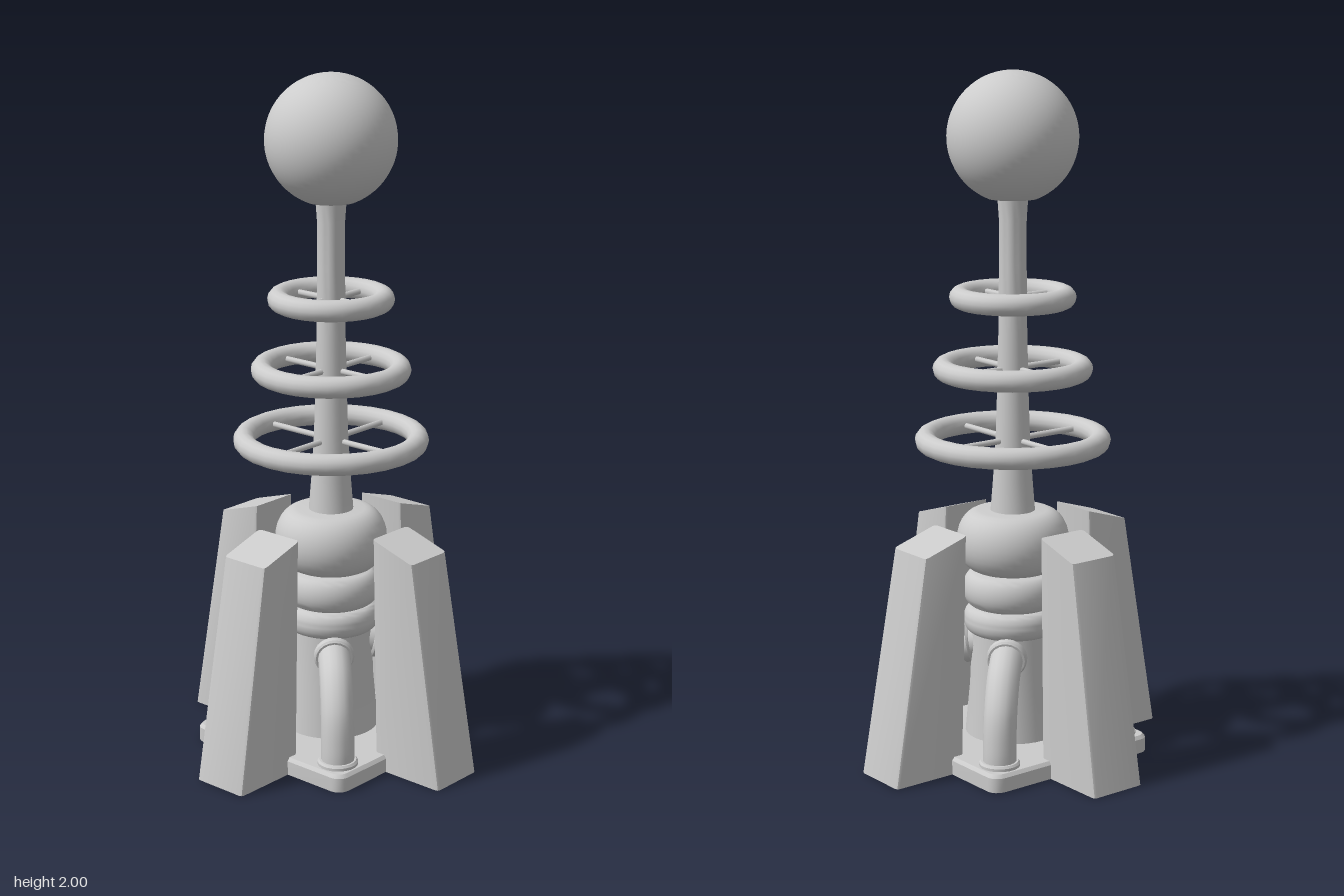
import * as THREE from 'three';
import { toCreasedNormals } from 'three/addons/utils/BufferGeometryUtils.js';

const material = new THREE.MeshStandardMaterial({ color: 0xcccccc, side: THREE.DoubleSide });

function add(parent, name, geometry) {
  const mesh = new THREE.Mesh(geometry, material);
  mesh.name = name;
  parent.add(mesh);
  return mesh;
}

function group(parent, name) {
  const g = new THREE.Group();
  g.name = name;
  parent.add(g);
  return g;
}

// Rounded rectangle loop between x0..x1 and -w..w, with height given by a function of x
function roundedLoop(x0, x1, w, r, heightAt, steps) {
  const centres = [[x1 - r, w - r], [x0 + r, w - r], [x0 + r, r - w], [x1 - r, r - w]];
  const loop = [];
  centres.forEach(([cx, cz], quarter) => {
    for (let i = 0; i <= steps; i++) {
      const a = (quarter + i / steps) * Math.PI / 2;
      const x = cx + r * Math.cos(a);
      loop.push([x, heightAt(x), cz + r * Math.sin(a)]);
    }
  });
  return loop;
}

// Skin through stacked loops, capped on top and open underneath
function loft(loops) {
  const n = loops[0].length;
  const positions = [];
  for (let k = 0; k < loops.length - 1; k++) {
    const lower = loops[k], upper = loops[k + 1];
    for (let i = 0; i < n; i++) {
      const j = (i + 1) % n;
      positions.push(...lower[i], ...upper[i], ...lower[j], ...lower[j], ...upper[i], ...upper[j]);
    }
  }
  const top = loops[loops.length - 1];
  for (let i = 1; i < n - 1; i++) positions.push(...top[0], ...top[i + 1], ...top[i]);
  const geometry = new THREE.BufferGeometry();
  geometry.setAttribute('position', new THREE.Float32BufferAttribute(positions, 3));
  return toCreasedNormals(geometry, 0.6);
}

function lathe(points, segments = 40) {
  return toCreasedNormals(new THREE.LatheGeometry(points.map(p => new THREE.Vector2(...p)), segments), 0.6);
}

// Half-ellipse profile bulging out from a base radius
function bulge(y, halfHeight, base, depth, steps = 14) {
  return Array.from({ length: steps + 1 }, (_, i) => {
    const a = -Math.PI / 2 + Math.PI * i / steps;
    return [base + depth * Math.cos(a), y + halfHeight * Math.sin(a)];
  });
}

export function createModel() {
  const model = new THREE.Group();
  model.name = 'coilTower';

  // Square base plate with softened top edge
  add(model, 'basePlate', loft([
    roundedLoop(-0.29, 0.29, 0.29, 0.035, () => 0, 4),
    roundedLoop(-0.29, 0.29, 0.29, 0.035, () => 0.042, 4),
    roundedLoop(-0.282, 0.282, 0.282, 0.03, () => 0.052, 4),
  ]));

  // Core body with two ribs and a domed head
  add(model, 'coreBody', lathe([
    [0.145, 0], [0.14, 0.06], [0.127, 0.2], [0.12, 0.36],
    ...bulge(0.4, 0.04, 0.118, 0.027),
    ...bulge(0.492, 0.052, 0.112, 0.035),
    ...bulge(0.637, 0.09, 0.1, 0.065),
    [0, 0.727],
  ]));

  // Tapered mast
  add(model, 'mast', lathe([
    [0.066, 0.72], [0.058, 0.82], [0.05, 0.95], [0.046, 1.08],
    [0.042, 1.25], [0.04, 1.45], [0.04, 1.58], [0.045, 1.65],
  ], 24));

  // Ball on top, cut flat underneath
  const cut = 0.39;
  const ball = Array.from({ length: 33 }, (_, i) => {
    const a = cut + (Math.PI - cut) * i / 32;
    return [Math.max(0, 0.188 * Math.sin(a)), 1.812 - 0.188 * Math.cos(a)];
  });
  add(model, 'topBall', lathe([[0, ball[0][1]], ...ball], 48));

  // Rings held to the mast by thin spokes
  for (const [y, outer] of [[0.937, 0.285], [1.147, 0.232], [1.355, 0.183]]) {
    const ring = group(model, 'ringWithSpokes');
    ring.position.y = y;
    const tube = 0.031;
    add(ring, 'ring', new THREE.TorusGeometry(outer - tube, tube, 14, 28)).rotation.x = Math.PI / 2;
    for (let i = 0; i < 2; i++) {
      const spoke = add(ring, 'spokePair', new THREE.CylinderGeometry(0.009, 0.009, 2 * (outer - tube), 8));
      spoke.rotation.set(Math.PI / 2, 0, i * Math.PI / 2);
    }
  }

  // Four leaning buttresses with sloped tops
  const slope = x => 0.7 - (x - 0.225) * 0.045 / 0.145;
  const buttressGeometry = loft([
    roundedLoop(0.25, 0.485, 0.088, 0.01, () => 0, 2),
    roundedLoop(0.225, 0.37, 0.078, 0.01, slope, 2),
  ]);
  for (let i = 0; i < 4; i++) {
    add(model, 'buttress', buttressGeometry).rotation.y = i * Math.PI / 2;
  }

  // Corner pipes bending from the base plate into the body
  const path = new THREE.CatmullRomCurve3([
    [0.308, 0], [0.306, 0.1], [0.285, 0.2], [0.23, 0.275], [0.16, 0.31], [0.1, 0.32],
  ].map(([r, y]) => new THREE.Vector3(r, y, 0)));
  const pipeGeometry = new THREE.TubeGeometry(path, 28, 0.048, 16);
  const collarGeometry = lathe([
    [0.04, -0.014], [0.054, -0.014], [0.059, -0.008], [0.059, 0.008], [0.054, 0.014], [0.04, 0.014],
  ], 20);
  for (let i = 0; i < 4; i++) {
    const pipe = group(model, 'cornerPipe');
    pipe.rotation.y = Math.PI / 4 + i * Math.PI / 2;
    add(pipe, 'pipe', pipeGeometry);
    add(pipe, 'footCollar', collarGeometry).position.set(0.308, 0.052, 0);
    const collar = add(pipe, 'bodyCollar', collarGeometry);
    collar.position.set(0.138, 0.315, 0);
    collar.rotation.z = Math.PI / 2 - 0.2;
  }

  return model;
}
